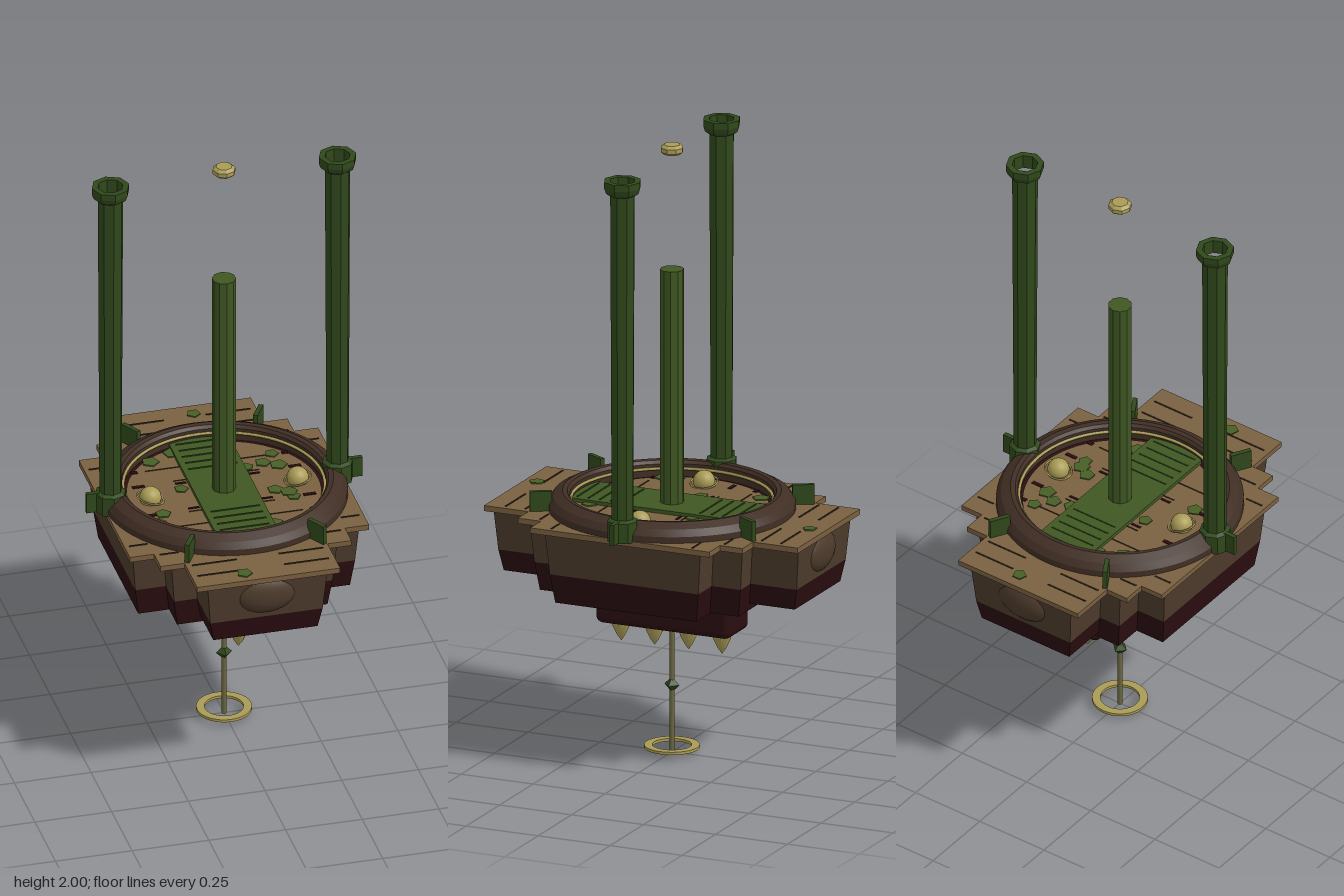
import * as THREE from 'three';
import { toCreasedNormals } from 'three/addons/utils/BufferGeometryUtils.js';
import { RoundedBoxGeometry } from 'three/addons/geometries/RoundedBoxGeometry.js';

const material = (name, color) => {
  const m = new THREE.MeshStandardMaterial({ color });
  m.name = name;
  return m;
};

export function createModel() {
  const model = new THREE.Group();
  model.name = 'floatingPlatform';
  const wood = material('plankBrown', 0x7a6040);
  const hullBrown = material('hullBrown', 0x4d3b2c);
  const rimBrown = material('rimBrown', 0x402e24);
  const maroon = material('darkMaroon', 0x2a0d10);
  const green = material('walkwayGreen', 0x3f5722);
  const darkGreen = material('towerGreen', 0x30481b);
  const moss = material('mossGreen', 0x475f26);
  const gold = material('paleGold', 0xaa9c56);
  const seam = material('seamBrown', 0x35281c);
  const olive = material('rodOlive', 0x6b6840);

  const add = (name, geo, mat, x = 0, y = 0, z = 0) => {
    const mesh = new THREE.Mesh(geo, mat);
    mesh.name = name;
    mesh.position.set(x, y, z);
    model.add(mesh);
    return mesh;
  };
  const box = (name, mat, w, h, d, x, y, z) => add(name, new THREE.BoxGeometry(w, h, d), mat, x, y, z);
  const lathe = (points, sides, crease = 0.5) => toCreasedNormals(
    new THREE.LatheGeometry(points.map(([r, y]) => new THREE.Vector2(r, y)), sides), crease);

  // Box whose lower end is narrower than its upper end
  const taper = (name, mat, top, bottom, y0, y1) => {
    const geo = new THREE.BoxGeometry(2, 2, 2);
    const p = geo.attributes.position;
    for (let i = 0; i < p.count; i++) {
      const up = p.getY(i) > 0;
      const [hx, hz] = up ? top : bottom;
      p.setXYZ(i, p.getX(i) * hx, up ? y1 : y0, p.getZ(i) * hz);
    }
    const flat = geo.toNonIndexed();
    flat.computeVertexNormals();
    add(name, flat, mat);
  };

  // Stepped hull: three crossing tapered blocks with a dark lower band
  for (const [hx, hz, low] of [[0.195, 0.53, 0.58], [0.27, 0.37, 0.557], [0.37, 0.27, 0.555]]) {
    taper('hullUpper', hullBrown, [hx, hz], [hx - 0.012, hz - 0.012], 0.65, 0.79);
    taper('hullLower', maroon, [hx - 0.012, hz - 0.012], [hx - 0.025, hz - 0.025], low, 0.65);
  }
  for (const s of [-1, 1]) {
    add('endBulge', new THREE.SphereGeometry(1, 24, 14), hullBrown, 0, 0.73, s * 0.508).scale.set(0.1, 0.068, 0.038);
  }

  // Keel with a row of teeth
  add('keel', new RoundedBoxGeometry(0.16, 0.16, 0.47, 3, 0.025), maroon, 0, 0.495, 0);
  for (const z of [-0.174, -0.058, 0.06, 0.176]) {
    add('tooth', lathe([[0, -0.072], [0.014, -0.052], [0.027, -0.025], [0.036, 0.004], [0, 0.004]], 10, 0.2), gold, 0, 0.417, z);
  }

  // Hanging rod, bead and hoop
  add('hangingRod', new THREE.CylinderGeometry(0.008, 0.008, 0.42, 8), olive, 0, 0.21, 0);
  add('rodBead', new THREE.OctahedronGeometry(0.026), darkGreen, 0, 0.222, 0);
  add('hoop', lathe([[0.062, 0.016], [0.088, 0.016], [0.088, 0.025], [0.062, 0.025], [0.062, 0.016]], 32), gold);

  // Stepped deck
  const quarter = [[0.39, 0.311], [0.311, 0.311], [0.311, 0.39], [0.233, 0.39], [0.233, 0.545]];
  const back = [...quarter].reverse();
  const outline = [
    ...quarter, ...back.map(([x, z]) => [-x, z]),
    ...quarter.map(([x, z]) => [-x, -z]), ...back.map(([x, z]) => [x, -z]),
  ];
  const deckShape = new THREE.Shape(outline.map(([x, z]) => new THREE.Vector2(x, z)));
  const deck = new THREE.ExtrudeGeometry(deckShape, { depth: 0.018, bevelEnabled: false });
  deck.rotateX(-Math.PI / 2);
  add('deck', deck, wood, 0, 0.787, 0);

  // Plank seams on the deck
  for (const sz of [-1, 1]) {
    for (const sx of [-1, 1]) {
      box('deckSeam', seam, 0.145, 0.003, 0.005, sx * 0.141, 0.806, sz * 0.478);
      box('deckSeam', seam, 0.145, 0.003, 0.005, sx * 0.141, 0.806, sz * 0.41);
      box('deckSeam', seam, 0.06, 0.003, 0.005, sx * 0.265, 0.806, sz * 0.32);
      box('deckSeam', seam, 0.06, 0.003, 0.005, sx * 0.345, 0.806, sz * 0.245);
    }
  }

  // Round rim, inner trim and floor
  add('rim', lathe([[0.385, 0.79], [0.391, 0.8], [0.39, 0.825], [0.375, 0.846], [0.345, 0.862],
    [0.33, 0.86], [0.322, 0.85], [0.32, 0.79]], 64, 0.4), rimBrown);
  add('innerTrim', new THREE.TorusGeometry(0.318, 0.005, 6, 64).rotateX(Math.PI / 2), gold, 0, 0.836, 0);
  add('floorGap', new THREE.CylinderGeometry(0.32, 0.32, 0.006, 64), maroon, 0, 0.806, 0);
  add('floor', new THREE.CylinderGeometry(0.307, 0.307, 0.008, 64), wood, 0, 0.808, 0);
  for (const sz of [-1, 1]) {
    box('floorSeam', seam, 0.42, 0.002, 0.004, 0, 0.813, sz * 0.178);
    box('floorSeam', seam, 0.28, 0.002, 0.004, 0, 0.813, sz * 0.097);
    for (const sx of [-1, 1]) {
      box('floorSlot', maroon, 0.04, 0.003, 0.013, sx * 0.255, 0.813, sz * 0.09);
      box('floorSlot', maroon, 0.035, 0.003, 0.008, sx * 0.12, 0.813, sz * 0.079);
      box('floorSlot', maroon, 0.02, 0.003, 0.014, sx * 0.245, 0.813, sz * 0.178);
    }
  }

  // Walkway with arc ends and cross slats
  const a = Math.asin(0.098 / 0.318);
  const walkShape = new THREE.Shape();
  walkShape.absarc(0, 0, 0.318, Math.PI / 2 - a, Math.PI / 2 + a, false);
  walkShape.absarc(0, 0, 0.318, 1.5 * Math.PI - a, 1.5 * Math.PI + a, false);
  const walk = new THREE.ExtrudeGeometry(walkShape, { depth: 0.014, bevelEnabled: false });
  walk.rotateX(-Math.PI / 2);
  add('walkway', walk, green, 0, 0.81, 0);
  for (const z of [0.136, 0.175, 0.214, 0.253, 0.292]) {
    for (const s of [-1, 1]) box('walkwaySlat', darkGreen, 0.16, 0.003, 0.005, 0, 0.825, s * z);
  }

  // Moss patches: on the outer deck and on the floor
  const patches = [[0.032, -0.493], [-0.067, 0.5], [-0.18, -0.226], [0.203, -0.18], [0.162, -0.133],
    [0.206, -0.107], [-0.128, -0.042], [0.157, 0.038], [0.195, 0.062], [0.203, 0.092],
    [-0.223, 0.093], [-0.252, 0.148], [0.105, -0.12], [0.105, 0.237], [-0.1, -0.262]];
  patches.forEach(([x, z], i) => {
    const r = 0.023 + 0.003 * (i % 3);
    const y = Math.abs(z) > 0.4 ? 0.807 : 0.814 + 0.0005 * (i % 3);
    add('mossPatch', new THREE.CylinderGeometry(r, r, 0.004, 5), moss, x, y, z).rotation.y = i * 1.3;
  });

  // Central mast and floating gem
  add('mast', toCreasedNormals(new THREE.CylinderGeometry(0.038, 0.038, 0.78, 10), 0.2), green, 0, 1.2, 0);
  add('floatingGem', lathe([[0, 1.968], [0.026, 1.968], [0.037, 1.977], [0.037, 1.991], [0.026, 2], [0, 2]], 8, 0.2), gold);

  // Side towers and gold lamps
  for (const s of [-1, 1]) {
    add('tower', lathe([[0.036, 0.81], [0.041, 1.935], [0.055, 1.945], [0.061, 1.962],
      [0.061, 1.983], [0.041, 1.983], [0.041, 1.935]], 8, 0.2), darkGreen, s * 0.37, 0, 0);
    add('towerFoot', lathe([[0.05, 0.8], [0.05, 0.865], [0.036, 0.872]], 8, 0.2), darkGreen, s * 0.37, 0, 0);
    add('lamp', new THREE.SphereGeometry(0.035, 20, 14), gold, s * 0.24, 0.825, 0);
    const ring = add('lampRing', new THREE.TorusGeometry(0.043, 0.003, 6, 32), gold, s * 0.24, 0.822, 0);
    ring.rotation.set(Math.PI / 2, s * 0.25, 0);
  }

  // Six radial fins around the rim
  for (let i = 0; i < 6; i++) {
    const t = i * Math.PI / 3;
    const fin = box('rimFin', darkGreen, 0.07, 0.068, 0.015, 0.415 * Math.cos(t), 0.836, 0.415 * Math.sin(t));
    fin.rotation.y = -t;
  }
  return model;
}
